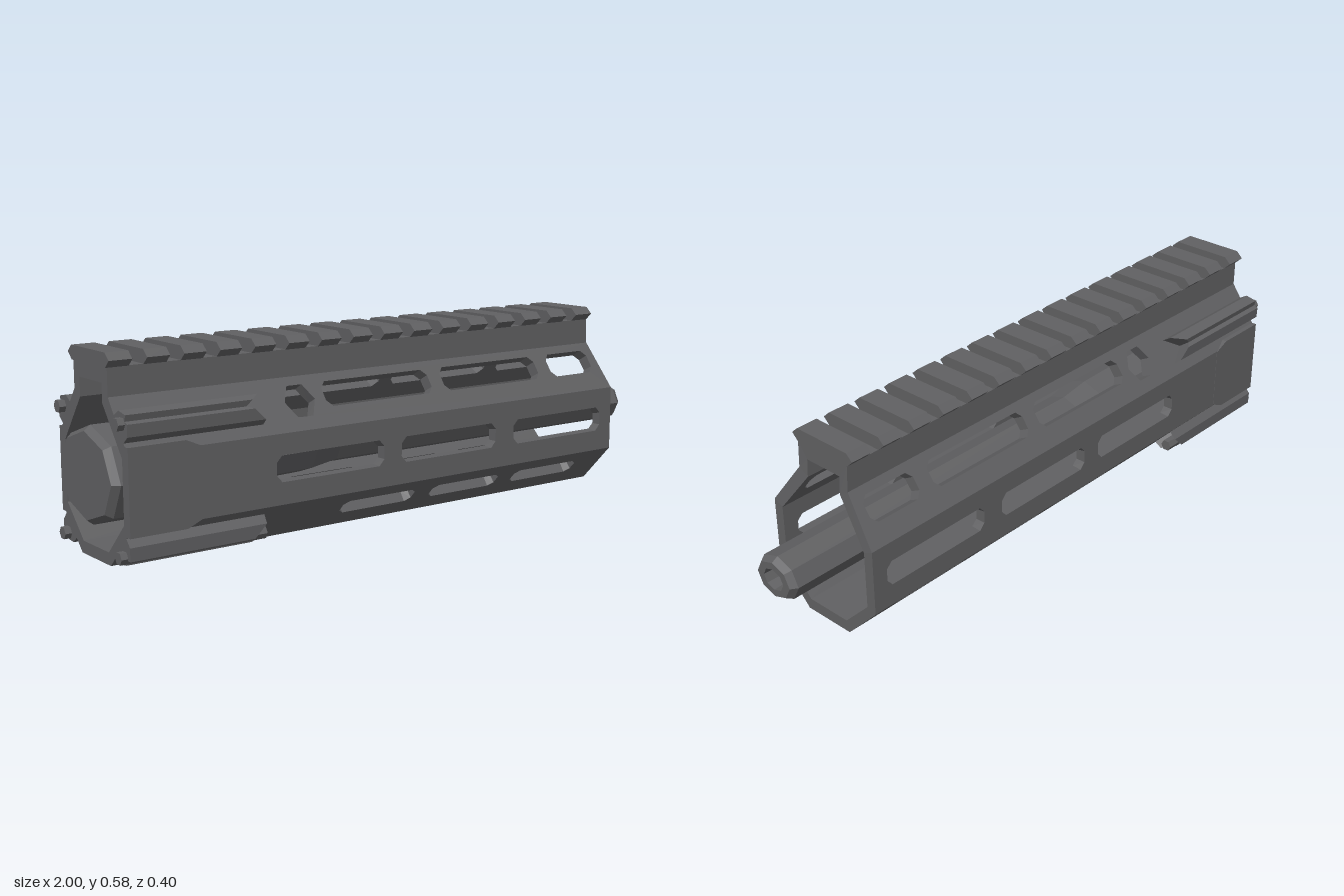
import * as THREE from 'three';

const gunmetal = new THREE.MeshStandardMaterial({ color: 0x606062, flatShading: true });
gunmetal.name = 'gunmetal';

const lerp = THREE.MathUtils.lerp;

function toShape(points) {
  return new THREE.Shape(points.map(([a, b]) => new THREE.Vector2(a, b)));
}

// prism along x from a [z, y] cross-section
function prism(section, x0, x1) {
  const g = new THREE.ExtrudeGeometry(toShape(section.map(([z, y]) => [-z, y])), { depth: x1 - x0, bevelEnabled: false });
  return g.rotateY(Math.PI / 2).translate(x0, 0, 0);
}

// slot with clipped corners
function slot(x0, x1, t0, t1) {
  const c = 0.018, k = (t1 - t0) * 0.25;
  return [[x0 + c, t0], [x1 - c, t0], [x1, t0 + k], [x1, t1 - k], [x1 - c, t1], [x0 + c, t1], [x0, t1 - k], [x0, t0 + k]];
}

function hexagon(cx, rx, ct, rt) {
  return Array.from({ length: 6 }, (_, i) => {
    const a = i * Math.PI / 3;
    return [cx + rx * Math.cos(a), ct + rt * Math.sin(a)];
  });
}

// wall panel: a flat strip with holes, bent to fit between outer and inner edges
function panel(outA, outB, inA, inB, endA, endB, holes) {
  const shape = toShape([[-0.975, 0], [endA, 0], [endB, 1], [-0.975, 1]]);
  holes.forEach(h => shape.holes.push(new THREE.Path(h.map(([a, b]) => new THREE.Vector2(a, b)))));
  const g = new THREE.ExtrudeGeometry(shape, { depth: 1, bevelEnabled: false });
  const p = g.attributes.position;
  for (let i = 0; i < p.count; i++) {
    const t = p.getY(i), d = p.getZ(i);
    const at = k => lerp(lerp(inA[k], inB[k], t), lerp(outA[k], outB[k], t), d);
    p.setXYZ(i, p.getX(i), at(1), at(0));
  }
  g.computeVertexNormals();
  return g;
}

export function createModel() {
  const model = new THREE.Group();
  model.name = 'railedHandguard';
  const add = (name, geometry) => {
    const mesh = new THREE.Mesh(geometry, gunmetal);
    mesh.name = name;
    model.add(mesh);
    return mesh;
  };

  // half cross-section [z, y], bottom to top, with the x of the muzzle end
  const outer = [[0.085, 0], [0.2, 0.12], [0.2, 0.325], [0.098, 0.465], [0.098, 0.545]];
  const inner = [[0.075, 0.036], [0.168, 0.13], [0.168, 0.31], [0.065, 0.445], [0.065, 0.5]];
  const ends = [0.82, 0.82, 0.82, 0.803, 0.8];
  const names = ['lowerWall', 'sideWall', 'upperWall', 'railWeb'];
  const holes = [
    [[-0.25, 0.02], [0.09, 0.36], [0.43, 0.7]].map(([a, b]) => slot(a, b, 0.36, 0.72)),
    [[-0.51, -0.13], [-0.065, 0.31], [0.385, 0.77]].map(([a, b]) => slot(a, b, 0.32, 0.7)),
    [...[[-0.305, 0.09], [0.14, 0.535], [0.59, 0.775]].map(([a, b]) => slot(a, b, 0.37, 0.84)),
      hexagon(-0.393, 0.052, 0.54, 0.34)],
    [],
  ];
  const flip = ([z, y]) => [-z, y];

  // tube walls, both sides
  for (let i = 0; i < 4; i++) {
    add(names[i] + 'Left', panel(outer[i], outer[i + 1], inner[i], inner[i + 1], ends[i], ends[i + 1], holes[i]));
    const flippedHoles = holes[i].map(h => h.map(([x, t]) => [x, 1 - t]));
    add(names[i] + 'Right', panel(flip(outer[i + 1]), flip(outer[i]), flip(inner[i + 1]), flip(inner[i]),
      ends[i + 1], ends[i], flippedHoles));
  }
  add('floor', panel(flip(outer[0]), outer[0], flip(inner[0]), inner[0], 0.82, 0.82, []));
  add('railBase', panel(outer[4], flip(outer[4]), inner[4], flip(inner[4]), 0.8, 0.8, []));

  // rail teeth
  const tooth = [[0.098, 0.544], [0.12, 0.565], [0.098, 0.585], [-0.098, 0.585], [-0.12, 0.565], [-0.098, 0.544]];
  for (let i = 0; i < 16; i++) {
    const x = -0.98 + i * 0.114;
    add('railTooth', prism(tooth, x, x + 0.07));
  }

  // forked clamp halves in wall coordinates: u along the wall, n away from it
  const halves = [
    [[0, -0.006], [0.003, 0.028], [0.03, 0.05], [0.043, 0.042], [0.043, -0.006]],
    [[0.043, -0.006], [0.043, 0.042], [0.055, 0.056], [0.083, 0.03], [0.086, -0.006]],
  ];
  const clamps = [
    { name: 'upperClamp', a: outer[2], b: outer[3], start: 0.035, bolt: [0.172, 0.405], boltEnd: -0.9 },
    { name: 'lowerClamp', a: outer[0], b: outer[1], start: 0.048, bolt: [0.167, 0.042], boltEnd: -0.535 },
  ];

  for (const side of [1, -1]) {
    for (const c of clamps) {
      const length = Math.hypot(c.b[0] - c.a[0], c.b[1] - c.a[1]);
      const dz = (c.b[0] - c.a[0]) / length, dy = (c.b[1] - c.a[1]) / length;
      for (const half of halves) {
        const section = half.map(([u, n]) => [
          side * (c.a[0] + dz * (u + c.start) + dy * n),
          c.a[1] + dy * (u + c.start) - dz * n,
        ]);
        const g = prism(section, -0.975, -0.6);
        // slant the muzzle end outward from the middle to form the fork
        const p = g.attributes.position;
        for (let i = 0; i < p.count; i++) {
          if (p.getX(i) < -0.7) continue;
          const u = (side * p.getZ(i) - c.a[0]) * dz + (p.getY(i) - c.a[1]) * dy - c.start;
          p.setX(i, -0.6 + Math.abs(u - 0.043) * 1.4);
        }
        g.computeVertexNormals();
        add(c.name, g);
      }
      // hex clamp bolt
      const bolt = new THREE.CylinderGeometry(0.019, 0.019, c.boltEnd + 0.995, 6).rotateZ(Math.PI / 2);
      add('clampBolt', bolt.translate((c.boltEnd - 0.995) / 2, c.bolt[1], side * c.bolt[0]));
    }

    // flared plate at the rear of each side
    const plate = new THREE.ExtrudeGeometry(
      toShape([[-0.975, 0.1], [-0.8, 0.1], [-0.75, 0.122], [-0.75, 0.323], [-0.8, 0.345], [-0.975, 0.345]]),
      { depth: 0.025, bevelEnabled: false });
    add('rearSidePlate', plate.translate(0, 0, side > 0 ? 0.176 : -0.201));
  }

  // barrel nut, stepped barrel and bored muzzle, eight-sided
  const profile = [
    [0, -1], [0.15, -1], [0.168, -0.98], [0.168, -0.8], [0.15, -0.8], [0.133, -0.7], [0.11, -0.66],
    [0.1, -0.3], [0.08, -0.2], [0.08, 0.98], [0.066, 1], [0.04, 1], [0.036, 0.94], [0, 0.94],
  ].map(([r, x]) => new THREE.Vector2(r, x));
  const barrel = new THREE.LatheGeometry(profile, 8).rotateZ(-Math.PI / 2).scale(1, 0.83, 1);
  add('barrel', barrel.translate(0, 0.238, 0));

  return model;
}
